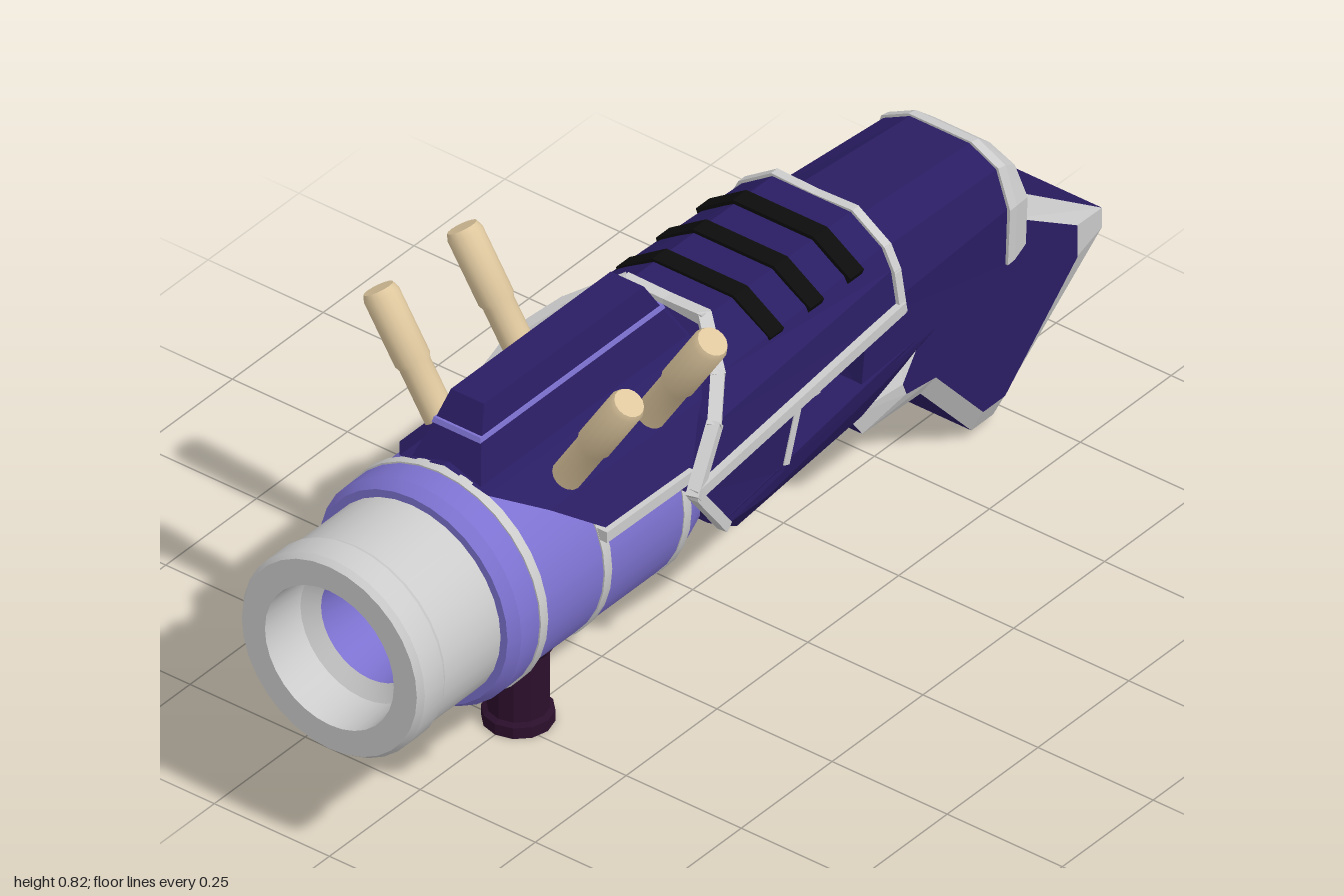
import * as THREE from 'three';
import { toCreasedNormals } from 'three/addons/utils/BufferGeometryUtils.js';

const GREY = 0xcccccc, DARK = 0x2a1d63, LAV = 0x7d72d0, TAN = 0xdec79e, MAROON = 0x2b0f2c, BLACK = 0x0c0c0c;
const AXIS_Y = 0.415; // height of the barrel axis

export function createModel() {
  const model = new THREE.Group();

  const add = (name, geometry, color, flat = false, parent = model) => {
    const mesh = new THREE.Mesh(geometry, new THREE.MeshStandardMaterial({ color, flatShading: flat }));
    mesh.name = name;
    parent.add(mesh);
    return mesh;
  };

  // Skin between rings of [x, y, z] corners, ordered clockwise seen from the first ring's end
  const loft = (rings, caps = true) => {
    const pos = [];
    const tri = (...p) => p.forEach((q) => pos.push(...q));
    const n = rings[0].length;
    for (let r = 0; r < rings.length - 1; r++) {
      for (let i = 0; i < n; i++) {
        const j = (i + 1) % n, A = rings[r], B = rings[r + 1];
        tri(A[i], A[j], B[j]);
        tri(A[i], B[j], B[i]);
      }
    }
    if (caps) {
      const cap = (ring, flip) => {
        const c = [0, 1, 2].map((k) => ring.reduce((s, p) => s + p[k], 0) / n);
        ring.forEach((p, i) => {
          const q = ring[(i + 1) % n];
          flip ? tri(c, q, p) : tri(c, p, q);
        });
      };
      cap(rings[0], true);
      cap(rings[rings.length - 1], false);
    }
    const g = new THREE.BufferGeometry();
    g.setAttribute('position', new THREE.Float32BufferAttribute(pos, 3));
    g.computeVertexNormals();
    return g;
  };

  // Full ring from its right half (top centre to bottom centre); z is shared or given per point
  const ring = (z, half) => {
    const pts = half.map(([x, y, pz = z]) => [x, y, pz]);
    const mirrored = pts.slice(1, -1).reverse().map(([x, y, pz]) => [-x, y, pz]);
    return [...pts, ...mirrored];
  };

  // Turned part along z, from profile points [radius, z]
  const turned = (name, profile, color) => {
    const g = new THREE.LatheGeometry(profile.map(([r, z]) => new THREE.Vector2(r, z)), 32);
    g.rotateX(Math.PI / 2).translate(0, AXIS_Y, 0);
    return add(name, toCreasedNormals(g, 0.5), color);
  };

  // Square trim bars following a path on both sides
  const trim = (name, path, w = 0.024, color = GREY) => {
    const group = new THREE.Group();
    group.name = name;
    for (const s of [1, -1]) {
      for (let i = 0; i < path.length - 1; i++) {
        const a = new THREE.Vector3(...path[i]), b = new THREE.Vector3(...path[i + 1]);
        a.x *= s; b.x *= s;
        const bar = add('trimBar', new THREE.BoxGeometry(w, w, a.distanceTo(b) + w * 0.4), color, true, group);
        bar.position.copy(a).add(b).multiplyScalar(0.5);
        bar.lookAt(b);
      }
    }
    model.add(group);
  };

  // Barrel, muzzle and bore
  turned('barrel', [[0, 0.03], [0.13, 0.03], [0.205, 0.25], [0.213, 0.28], [0.213, 0.69]], LAV);
  turned('collar', [[0.205, 0.67], [0.22, 0.68], [0.22, 0.75], [0.207, 0.772], [0.18, 0.772]], LAV);
  turned('muzzle', [[0.18, 0.76], [0.192, 0.77], [0.192, 0.925], [0.198, 0.935], [0.198, 0.988], [0.19, 1],
    [0.14, 1], [0.134, 0.91], [0.105, 0.89]], GREY);
  turned('bore', [[0.105, 0.89], [0.07, 0.72], [0, 0.72]], LAV);
  for (const [z, r] of [[0.285, 0.215], [0.505, 0.216], [0.69, 0.223]]) {
    turned('barrelBand', [[r - 0.02, z - 0.01], [r, z - 0.01], [r, z + 0.01], [r - 0.02, z + 0.01]], GREY);
  }

  // Faceted cover over the barrel
  const arc = (zs) => {
    const pts = [0, 25, 46, 68].map((deg, i) => {
      const a = deg * Math.PI / 180;
      return [0.227 * Math.sin(a), AXIS_Y + 0.227 * Math.cos(a), zs[i]];
    });
    return [...pts, [0, 0.48, zs[3]]];
  };
  add('barrelCover', loft([ring(0, arc([0.685, 0.685, 0.6, 0.5])), ring(0, arc([0.05, 0.05, 0.1, 0.2]))]), DARK, true);
  trim('coverTrim', [[0.209, 0.492, 0.51], [0.21, 0.49, 0.28]], 0.022);

  // Sight rail with its stripe
  const level = (y, w, back, front) => [[-w, y, back], [w, y, back], [w, y, front], [-w, y, front]];
  add('sightRail', loft([level(0.75, 0.036, 0.18, 0.62), level(0.697, 0.05, 0.15, 0.645), level(0.61, 0.08, 0.1, 0.685)]), DARK, true);
  add('sightStripe', loft([level(0.701, 0.051, 0.146, 0.648), level(0.692, 0.053, 0.142, 0.652)]), LAV, true);

  // Upper receiver with a swept front edge
  const upperFront = [[0, 0.648, 0.075], [0.085, 0.648, 0.075], [0.165, 0.6, 0.14], [0.213, 0.555, 0.21], [0.24, 0.47, 0.3], [0, 0.46, 0.3]];
  const upperRear = [[0, 0.645], [0.085, 0.645], [0.152, 0.6], [0.172, 0.56], [0.185, 0.482], [0, 0.47]];
  add('upperReceiver', loft([ring(0, upperFront), ring(-0.335, upperRear)]), DARK, true);
  trim('frontEdgeTrim', [[0, 0.642, 0.07], ...upperFront.slice(1, 5)], 0.024);
  trim('rearEdgeTrim', [[0, 0.638, -0.336], ...upperRear.slice(1, 5).map(([x, y]) => [x, y - 0.004, -0.336])], 0.018);
  trim('lowerEdgeTrim', [[0.24, 0.473, 0.3], [0.185, 0.486, -0.335]], 0.022);

  // Black cooling slots across the top
  for (const z of [-0.02, -0.13, -0.24]) {
    const slot = [[0, 0.653], [0.088, 0.653], [0.168, 0.6], [0.163, 0.588], [0, 0.62]];
    add('coolingSlot', loft([ring(z + 0.019, slot), ring(z - 0.019, slot)]), BLACK, true);
  }

  // Side block ahead of the open window, and the lower receiver
  add('sideBlock', loft([
    ring(0, [[0, 0.465, 0.29], [0.238, 0.465, 0.29], [0.23, 0.345, 0.2], [0, 0.345, 0.2]]),
    ring(0, [[0, 0.465, -0.02], [0.212, 0.465, -0.02], [0.207, 0.345, 0.01], [0, 0.345, 0.01]])]), DARK, true);
  trim('sideBlockTrim', [[0.236, 0.462, 0.29], [0.228, 0.35, 0.203]], 0.02);
  trim('windowFrontTrim', [[0.209, 0.46, -0.018], [0.205, 0.362, 0.008]], 0.014);
  add('lowerReceiver', loft([
    ring(0.2, [[0, 0.362], [0.231, 0.362], [0.228, 0.345], [0.19, 0.335], [0, 0.335]]),
    ring(0.05, [[0, 0.362], [0.213, 0.362], [0.2, 0.31], [0.135, 0.22], [0, 0.22]]),
    ring(-0.32, [[0, 0.362], [0.168, 0.362], [0.16, 0.32], [0.115, 0.235], [0, 0.235]]),
    ring(-0.48, [[0, 0.362], [0.152, 0.362], [0.146, 0.34], [0.12, 0.3], [0, 0.3]])]), DARK, true);

  // Grey bars standing inside the window
  [[-0.05, 0.41], [-0.08, 0.41], [-0.12, 0.42], [-0.15, 0.42], [-0.18, 0.42]].forEach(([z, y]) => {
    for (const s of [1, -1]) add('windowBar', new THREE.BoxGeometry(0.02, 0.11, 0.013), GREY, true).position.set(s * 0.12, y, z);
  });

  // Stock and its end cap
  add('stock', loft([
    ring(0, [[0, 0.612, -0.3], [0.07, 0.612, -0.3], [0.135, 0.575, -0.3], [0.166, 0.48, -0.27], [0.168, 0.345, -0.25], [0, 0.345, -0.25]]),
    ring(-0.69, [[0, 0.582], [0.065, 0.582], [0.122, 0.553], [0.146, 0.48], [0.142, 0.36], [0, 0.36]])]), DARK, true);
  add('stockCap', loft([
    ring(-0.68, [[0, 0.587], [0.068, 0.587], [0.127, 0.557], [0.153, 0.48], [0.148, 0.364], [0, 0.364]]),
    ring(-0.7, [[0, 0.583], [0.068, 0.583], [0.127, 0.553], [0.152, 0.48], [0.147, 0.364], [0, 0.364]]),
    ring(-0.742, [[0, 0.548], [0.06, 0.548], [0.114, 0.525], [0.142, 0.47], [0.138, 0.37], [0, 0.37]])]), GREY, true);

  // Shoulder grip: dark core with grey bevelled edges; profiles are [z, y]
  const outer = [[-0.45, 0.42], [-0.72, 0.48], [-1, 0.285], [-1, 0.245], [-0.7, 0.02], [-0.64, 0.02], [-0.5, 0.175], [-0.34, 0.18], [-0.3, 0.235], [-0.44, 0.33]];
  const inner = [[-0.47, 0.36], [-0.72, 0.43], [-0.9, 0.315], [-0.9, 0.25], [-0.7, 0.07], [-0.64, 0.07], [-0.51, 0.215], [-0.43, 0.225], [-0.42, 0.25], [-0.47, 0.32]];
  const side = (x, profile) => profile.map(([z, y]) => [x, y, z]);
  add('gripCore', loft([side(0.1, outer), side(-0.1, outer)], false), DARK, true);
  add('gripPanelLeft', loft([side(0.126, inner), side(0.09, inner)]), DARK, true);
  add('gripPanelRight', loft([side(-0.09, inner), side(-0.126, inner)]), DARK, true);
  add('gripBevelLeft', loft([side(0.125, inner), side(0.1, outer)], false), GREY, true);
  add('gripBevelRight', loft([side(-0.1, outer), side(-0.125, inner)], false), GREY, true);

  // Keel under the barrel
  const keel = [[0.5, 0.22], [0.1, 0.29], [0.1, 0.255], [0.26, 0.175], [0.41, 0.175], [0.5, 0.2]];
  add('keel', loft([side(0.035, keel), side(-0.035, keel)]), GREY, true);

  // Front handle and trigger
  const handle = [[0, 0], [0.064, 0], [0.064, 0.022], [0.055, 0.028], [0.055, 0.15], [0.068, 0.165], [0.068, 0.215], [0, 0.215]];
  const handleGeo = new THREE.LatheGeometry(handle.map(([r, y]) => new THREE.Vector2(r, y)), 12);
  add('handle', handleGeo.translate(0, 0, 0.48), MAROON, true);
  add('trigger', loft([level(0.21, 0.018, 0.52, 0.555), level(0.16, 0.02, 0.52, 0.56), level(0.115, 0.03, 0.53, 0.588)]), DARK, true);

  // Four slanted posts on the cover
  const post = [[0, 0], [0.029, 0], [0.029, 0.115], [0.033, 0.125], [0.033, 0.25], [0.028, 0.262], [0, 0.262]];
  for (const s of [1, -1]) {
    for (const z of [0.52, 0.29]) {
      const g = new THREE.LatheGeometry(post.map(([r, y]) => new THREE.Vector2(r, y)), 16);
      const mesh = add('post', toCreasedNormals(g, 0.6), TAN);
      mesh.position.set(s * 0.131, 0.58, z);
      mesh.rotation.z = -s * 0.57;
    }
  }
  return model;
}
